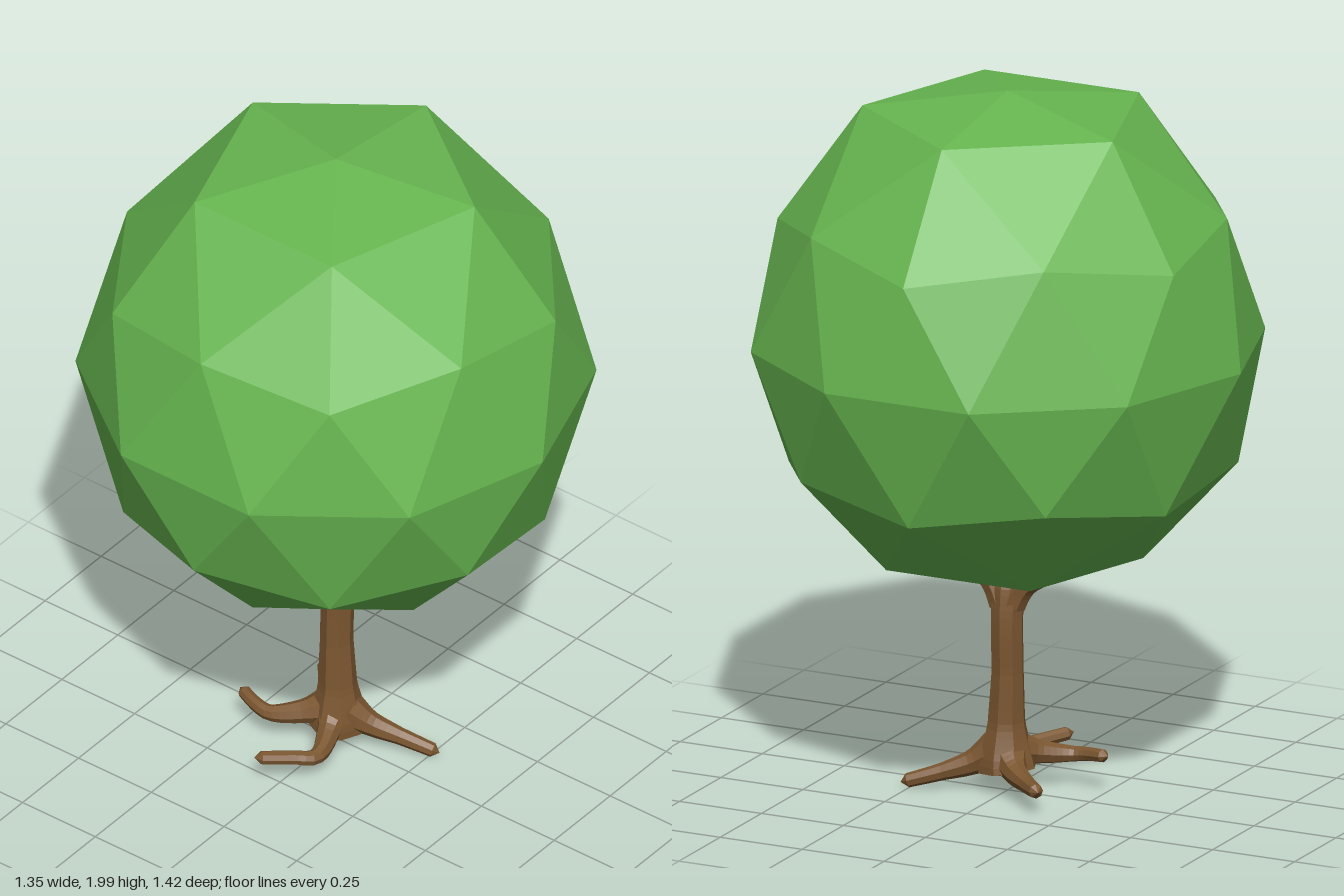
import * as THREE from 'three';

const leafMat = new THREE.MeshStandardMaterial({ color: 0x67b650, flatShading: true });
const barkMat = new THREE.MeshStandardMaterial({ color: 0x7b5630, flatShading: true });

// Tapering limb through stations [x, y, z, radius], closed at both ends
function limb(name, stations, sides = 8) {
  const curve = new THREE.CatmullRomCurve3(stations.map(([x, y, z]) => new THREE.Vector3(x, y, z)), false, 'centripetal');
  const rings = Math.max(8, Math.round(curve.getLength() / 0.02));
  const geo = new THREE.TubeGeometry(curve, rings, 1, sides, false);
  const pos = geo.attributes.position;
  const v = new THREE.Vector3();
  for (let i = 0; i <= rings; i++) {
    const u = i / rings;
    const centre = curve.getPointAt(u);
    const t = curve.getUtoTmapping(u) * (stations.length - 1);
    const k = Math.min(Math.floor(t), stations.length - 2);
    let r = THREE.MathUtils.lerp(stations[k][3], stations[k + 1][3], t - k);
    if (i === 0 || i === rings) r = 0;
    for (let j = 0; j <= sides; j++) {
      const n = i * (sides + 1) + j;
      v.fromBufferAttribute(pos, n).sub(centre).multiplyScalar(r).add(centre);
      pos.setXYZ(n, v.x, v.y, v.z);
    }
  }
  geo.computeVertexNormals();
  const mesh = new THREE.Mesh(geo, barkMat);
  mesh.name = name;
  return mesh;
}

// Faceted crown: a subdivided icosahedron with a vertex on top
function crown() {
  const R = 0.71, centreY = 1.29;
  const geo = new THREE.IcosahedronGeometry(R, 1);
  geo.rotateX(-Math.atan((1 + Math.sqrt(5)) / 2));
  geo.rotateY(Math.PI / 2);
  const pos = geo.attributes.position;
  for (let i = 0; i < pos.count; i++) {
    const h = pos.getY(i) / R;
    if (h > 0.8 && h < 0.95) {
      // upper ring swells into broad shoulders
      const s = 1.075;
      pos.setXYZ(i, pos.getX(i) * s, pos.getY(i) * s, pos.getZ(i) * s);
    } else if (h < -0.95) {
      // flat underside
      pos.setY(i, -0.58);
    }
  }
  geo.translate(0, centreY, 0);
  geo.computeVertexNormals();
  const mesh = new THREE.Mesh(geo, leafMat);
  mesh.name = 'crown';
  return mesh;
}

export function createModel() {
  const tree = new THREE.Group();
  tree.name = 'tree';
  tree.add(crown());

  // Trunk, flared at the foot
  tree.add(limb('trunk', [
    [0, 0.05, 0, 0.085], [0, 0.1, 0.005, 0.08], [0, 0.2, 0.005, 0.054],
    [0.003, 0.35, 0, 0.046], [0.006, 0.5, 0, 0.046], [-0.004, 0.58, 0, 0.05], [-0.01, 0.645, 0, 0.035],
  ]));

  // Fork of two branches, front and back
  for (const [name, s] of [['frontBranch', 1], ['backBranch', -1]]) {
    tree.add(limb(name, [
      [0.005, 0.52, s * 0.005, 0.04], [-0.004, 0.6, s * 0.045, 0.04],
      [-0.01, 0.637, s * 0.12, 0.028], [-0.012, 0.69, s * 0.28, 0.018],
    ]));
  }

  // Roots
  tree.add(limb('frontRoot', [
    [0, 0.13, 0.02, 0.06], [0.03, 0.085, 0.09, 0.035], [0.065, 0.055, 0.17, 0.024], [0.105, 0.022, 0.275, 0.019],
  ]));
  tree.add(limb('leftRoot', [
    [0, 0.12, 0, 0.06], [0.06, 0.085, -0.05, 0.035], [0.12, 0.072, -0.12, 0.024], [0.185, 0.075, -0.185, 0.019],
  ]));
  tree.add(limb('rightRoot', [
    [0, 0.12, 0, 0.06], [-0.07, 0.09, 0.03, 0.034], [-0.17, 0.075, 0.06, 0.022],
    [-0.22, 0.085, 0.02, 0.02], [-0.3, 0.1, -0.05, 0.019],
  ]));
  tree.add(limb('backRoot', [
    [0, 0.13, 0, 0.06], [-0.06, 0.11, -0.06, 0.034], [-0.115, 0.1, -0.14, 0.022],
    [-0.115, 0.105, -0.18, 0.02], [-0.09, 0.115, -0.26, 0.018],
  ]));

  return tree;
}
